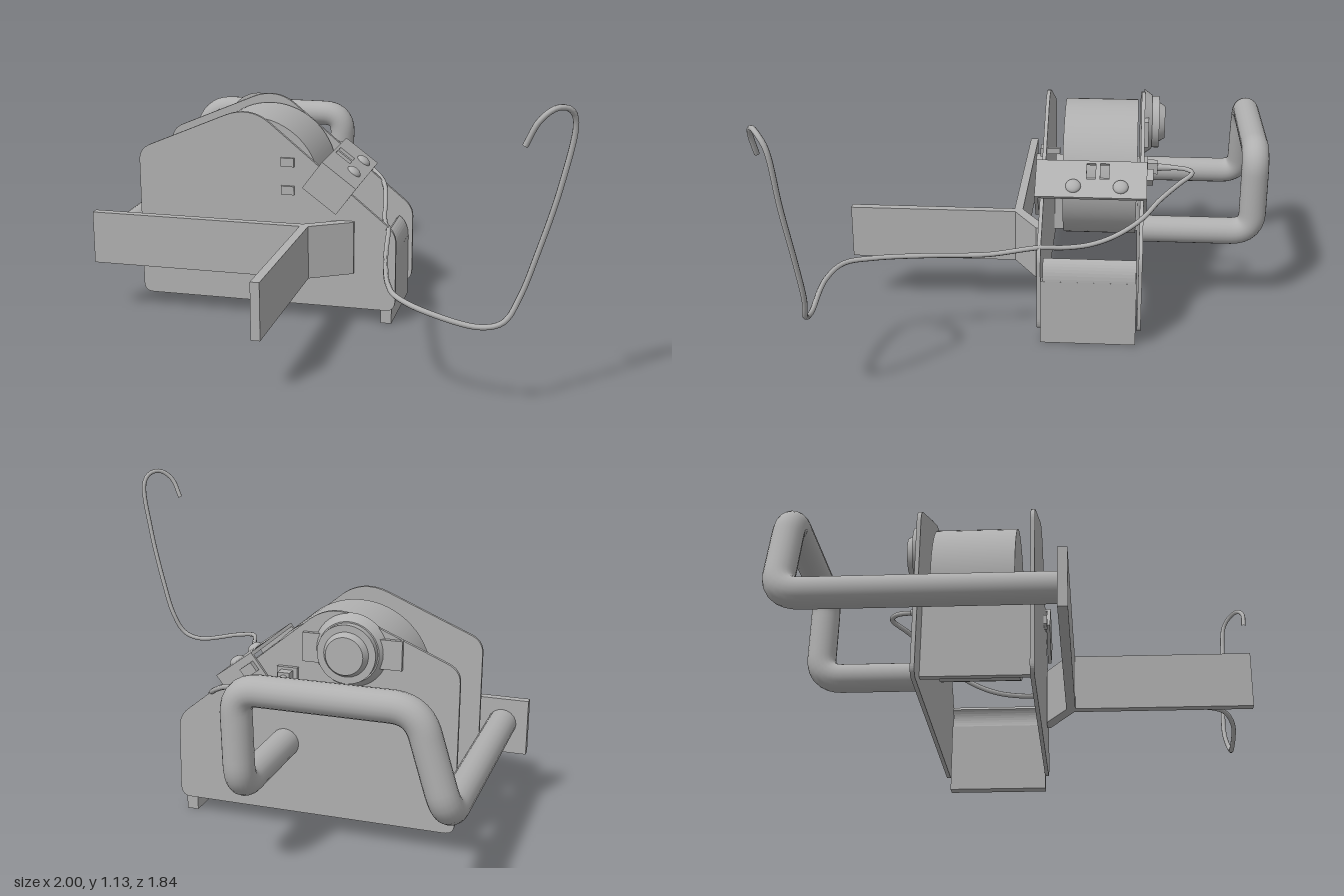
import * as THREE from 'three';

export function createModel() {
  const model = new THREE.Group();
  const metal = new THREE.MeshStandardMaterial({ color: 0xb0b0b0 });
  metal.name = 'plain grey';

  const add = (name, geo, x = 0, y = 0, z = 0, parent = model) => {
    const mesh = new THREE.Mesh(geo, metal);
    mesh.name = name;
    mesh.position.set(x, y, z);
    parent.add(mesh);
    return mesh;
  };
  // Box given by its minimum and maximum corners
  const box = (name, x0, x1, y0, y1, z0, z1, parent) =>
    add(name, new THREE.BoxGeometry(x1 - x0, y1 - y0, z1 - z0),
      (x0 + x1) / 2, (y0 + y1) / 2, (z0 + z1) / 2, parent);
  // Cylinder or cone frustum along z
  const disc = (name, rFront, rBack, x, y, z0, z1, sides = 40) =>
    add(name, new THREE.CylinderGeometry(rFront, rBack, z1 - z0, sides).rotateX(Math.PI / 2), x, y, (z0 + z1) / 2);
  const extrude = (shape, depth) =>
    new THREE.ExtrudeGeometry(shape, { depth, bevelEnabled: false, curveSegments: 8 });
  const curve = (points, tension = 0.5) =>
    new THREE.CatmullRomCurve3(points.map((p) => new THREE.Vector3(...p)), false, 'centripetal', tension);

  // Two side plates with rounded corners
  const side = new THREE.Shape();
  side.moveTo(-0.79, 0.06);
  side.lineTo(0.225, 0.06);
  side.quadraticCurveTo(0.262, 0.06, 0.262, 0.11);
  side.lineTo(0.262, 0.35);
  side.quadraticCurveTo(0.262, 0.39, 0.23, 0.42);
  side.lineTo(-0.27, 0.83);
  side.quadraticCurveTo(-0.35, 0.89, -0.45, 0.85);
  side.lineTo(-0.78, 0.71);
  side.quadraticCurveTo(-0.83, 0.69, -0.83, 0.64);
  side.lineTo(-0.83, 0.1);
  side.quadraticCurveTo(-0.83, 0.06, -0.79, 0.06);
  for (const [name, z] of [['frontSidePlate', -0.008], ['backSidePlate', -0.408]]) {
    add(name, extrude(side, 0.015), 0, 0, z);
  }

  // Plates joining the sides
  box('rearCrossPlate', -0.715, -0.69, 0.1, 0.4, -0.395, -0.005);
  box('frontCrossPlate', 0.2, 0.245, 0, 0.27, -0.388, -0.005);
  const lip = new THREE.Shape();
  lip.moveTo(0.2, 0.265);
  lip.lineTo(0.245, 0.265);
  lip.quadraticCurveTo(0.245, 0.33, 0.205, 0.355);
  lip.lineTo(0.19, 0.34);
  lip.quadraticCurveTo(0.215, 0.31, 0.2, 0.265);
  add('frontLip', extrude(lip, 0.37), 0, 0, -0.385);

  // Roll between the plates with its loose tongue
  disc('roll', 0.288, 0.288, -0.362, 0.542, -0.38, -0.075, 64);
  const tongue = add('rollTongue', new THREE.BoxGeometry(0.15, 0.012, 0.26), -0.08, 0.585, -0.23);
  tongue.rotation.z = -0.64;

  // Angled mounting bracket, drawn in plan
  const plan = new THREE.Shape([
    [-1, 0.09], [-0.105, 0.09], [0.03, 0.008], [0.09, 0.008], [0.09, 0.022], [-0.075, 0.12],
    [-0.075, 0.81], [-0.11, 0.81], [-0.11, 0.125], [-1, 0.125],
  ].map(([x, z]) => new THREE.Vector2(x, z)));
  add('mountingBracket', extrude(plan, 0.22).rotateX(Math.PI / 2), 0, 0.435, 0);

  // Bent tube handle: straight runs with rounded bends
  const corners = [
    [-0.9, 0.335, 0.09], [-0.9, 0.335, -0.865], [-0.79, 0.69, -0.865],
    [-0.155, 0.69, -0.865], [-0.17, 0.335, -0.865], [-0.17, 0.335, -0.4],
  ].map((p) => new THREE.Vector3(...p));
  const path = new THREE.CurvePath();
  let last = corners[0];
  for (let i = 1; i < corners.length - 1; i++) {
    const toward = (q) => corners[i].clone().add(q.clone().sub(corners[i]).setLength(0.09));
    const a = toward(corners[i - 1]);
    const b = toward(corners[i + 1]);
    path.add(new THREE.LineCurve3(last, a));
    path.add(new THREE.QuadraticBezierCurve3(a, corners[i], b));
    last = b;
  }
  path.add(new THREE.LineCurve3(last, corners[corners.length - 1]));
  add('handle', new THREE.TubeGeometry(path, 140, 0.056, 20));

  // Clamp across the sloping top edge
  const clamp = new THREE.Group();
  clamp.name = 'clamp';
  clamp.position.set(0.03, 0.628, 0);
  clamp.rotation.z = -0.64;
  model.add(clamp);
  const top = new THREE.Shape([[-0.0875, -0.42], [0.0875, -0.42], [0.0875, 0.028], [-0.0875, 0.028]]
    .map(([x, z]) => new THREE.Vector2(x, z)));
  for (const z of [-0.25, -0.195]) {
    const slot = new THREE.Path();
    slot.moveTo(-0.075, z - 0.018);
    slot.lineTo(-0.075, z + 0.018);
    slot.lineTo(0.0, z + 0.018);
    slot.lineTo(0.0, z - 0.018);
    slot.closePath();
    top.holes.push(slot);
  }
  add('clampTop', extrude(top, 0.014).rotateX(Math.PI / 2), 0, 0, 0, clamp);
  box('clampFrontFlange', -0.0875, 0.0875, -0.14, -0.005, 0.014, 0.028, clamp);
  box('clampBackFlange', -0.0875, 0.0875, -0.14, -0.005, -0.42, -0.408, clamp);
  for (const z of [-0.315, -0.125]) {
    const dome = new THREE.SphereGeometry(0.031, 24, 8, 0, Math.PI * 2, 0, Math.PI / 2).scale(1, 0.6, 1);
    add('clampBolt', dome, 0.035, 0, z, clamp);
  }
  box('clampLatch', -0.075, -0.02, -0.07, -0.03, -0.445, -0.418, clamp);

  // Small tabs through the front plate
  for (const y of [0.55, 0.668]) {
    box('plateTab', -0.215, -0.16, y - 0.018, y + 0.018, 0.004, 0.02);
    box('tabPeg', -0.197, -0.178, y - 0.012, y + 0.012, -0.06, 0.006);
  }

  // Stepped hub with side ears on the back plate
  box('hubEars', -0.62, -0.245, 0.67, 0.78, -0.425, -0.405);
  disc('hubBase', 0.14, 0.115, -0.425, 0.725, -0.44, -0.405);
  disc('hubBody', 0.11, 0.11, -0.425, 0.725, -0.47, -0.435);
  disc('hubCap', 0.085, 0.07, -0.425, 0.725, -0.495, -0.468);

  // Plug where the wire starts
  box('plugBase', -0.225, -0.145, 0.57, 0.64, -0.425, -0.405);
  box('plugBody', -0.208, -0.162, 0.583, 0.63, -0.465, -0.42);
  disc('plugTip', 0.016, 0.012, -0.185, 0.606, -0.52, -0.46, 16);

  // Long wire ending in a hook
  const wire = curve([
    [-0.185, 0.606, -0.5], [-0.16, 0.61, -0.58], [-0.11, 0.61, -0.605], [-0.05, 0.585, -0.55],
    [0.05, 0.55, -0.47], [0.13, 0.5, -0.4], [0.16, 0.44, -0.3], [0.175, 0.405, -0.2],
    [0.2, 0.4, -0.1], [0.23, 0.41, 0], [0.26, 0.388, 0.2], [0.3, 0.395, 0.42],
    [0.35, 0.4, 0.63], [0.4, 0.398, 0.74], [0.5, 0.375, 0.79], [0.7, 0.335, 0.8],
    [0.78, 0.36, 0.8], [0.83, 0.45, 0.785], [0.88, 0.6, 0.79], [0.95, 0.85, 0.81],
    [0.988, 1.07, 0.83], [0.97, 1.115, 0.86], [0.93, 1.123, 0.89], [0.88, 1.085, 0.912],
    [0.837, 1.0, 0.908],
  ]);
  add('wire', new THREE.TubeGeometry(wire, 180, 0.01, 8));

  return model;
}
